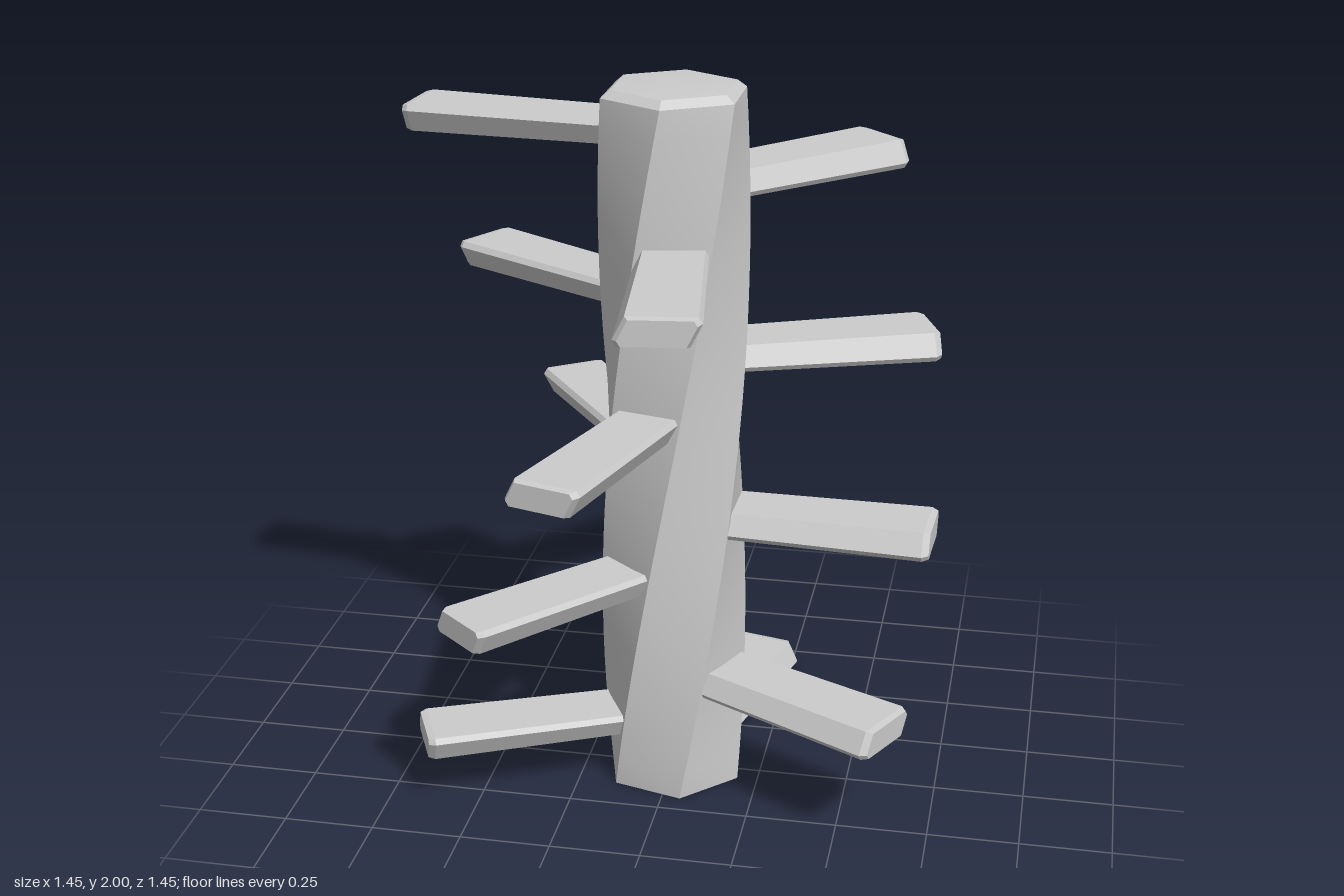
import * as THREE from 'three';
import { toCreasedNormals } from 'three/addons/utils/BufferGeometryUtils.js';

const rad = THREE.MathUtils.degToRad;

// Hexagonal column, twisted from base to shoulder, with a bevelled, slightly domed top
function columnGeometry() {
  const shoulder = 1.97, rows = 24;
  const profile = [new THREE.Vector2(0, 0)];
  for (let i = 0; i <= rows; i++) profile.push(new THREE.Vector2(0.2, shoulder * i / rows));
  profile.push(new THREE.Vector2(0.174, 1.99), new THREE.Vector2(0, 2));
  const geo = new THREE.LatheGeometry(profile, 6);
  const pos = geo.attributes.position;
  const up = new THREE.Vector3(0, 1, 0), v = new THREE.Vector3();
  for (let i = 0; i < pos.count; i++) {
    v.fromBufferAttribute(pos, i);
    v.applyAxisAngle(up, rad(-105) * (1 - Math.min(1, v.y / shoulder)));
    pos.setXYZ(i, v.x, v.y, v.z);
  }
  return toCreasedNormals(geo, 0.5);
}

// Plank with a slanted section, slightly narrower at the root and bevelled at the tip
function stepGeometry() {
  const section = new THREE.Shape([
    [-0.098, -0.0375], [0.078, -0.0375], [0.108, 0.022],
    [0.098, 0.0375], [-0.078, 0.0375], [-0.108, -0.022],
  ].map(([x, y]) => new THREE.Vector2(x, y)));
  const geo = new THREE.ExtrudeGeometry(section, { depth: 1, steps: 2, bevelEnabled: false });
  const reach = [0.08, 0.7, 0.718], scale = [0.9, 1, 0.89];
  const pos = geo.attributes.position;
  for (let i = 0; i < pos.count; i++) {
    const k = Math.round(pos.getZ(i) * 2);
    pos.setXYZ(i, pos.getX(i) * scale[k], pos.getY(i) * scale[k], reach[k]);
  }
  geo.computeVertexNormals();
  return geo;
}

export function createModel() {
  const model = new THREE.Group();
  model.name = 'spiralStair';

  const column = new THREE.Mesh(columnGeometry(), new THREE.MeshStandardMaterial({ color: 0xcccccc }));
  column.name = 'column';
  model.add(column);

  // Thirteen steps winding up the column
  const geo = stepGeometry();
  const mat = new THREE.MeshStandardMaterial({ color: 0xcccccc, flatShading: true });
  const steps = new THREE.Group();
  steps.name = 'steps';
  for (let i = 0; i < 13; i++) {
    const step = new THREE.Mesh(geo, mat);
    step.name = `step${i + 1}`;
    step.position.y = 0.0375 + i * 0.153;
    step.rotation.y = rad(166.5 + 128.1 * i);
    steps.add(step);
  }
  model.add(steps);
  return model;
}
